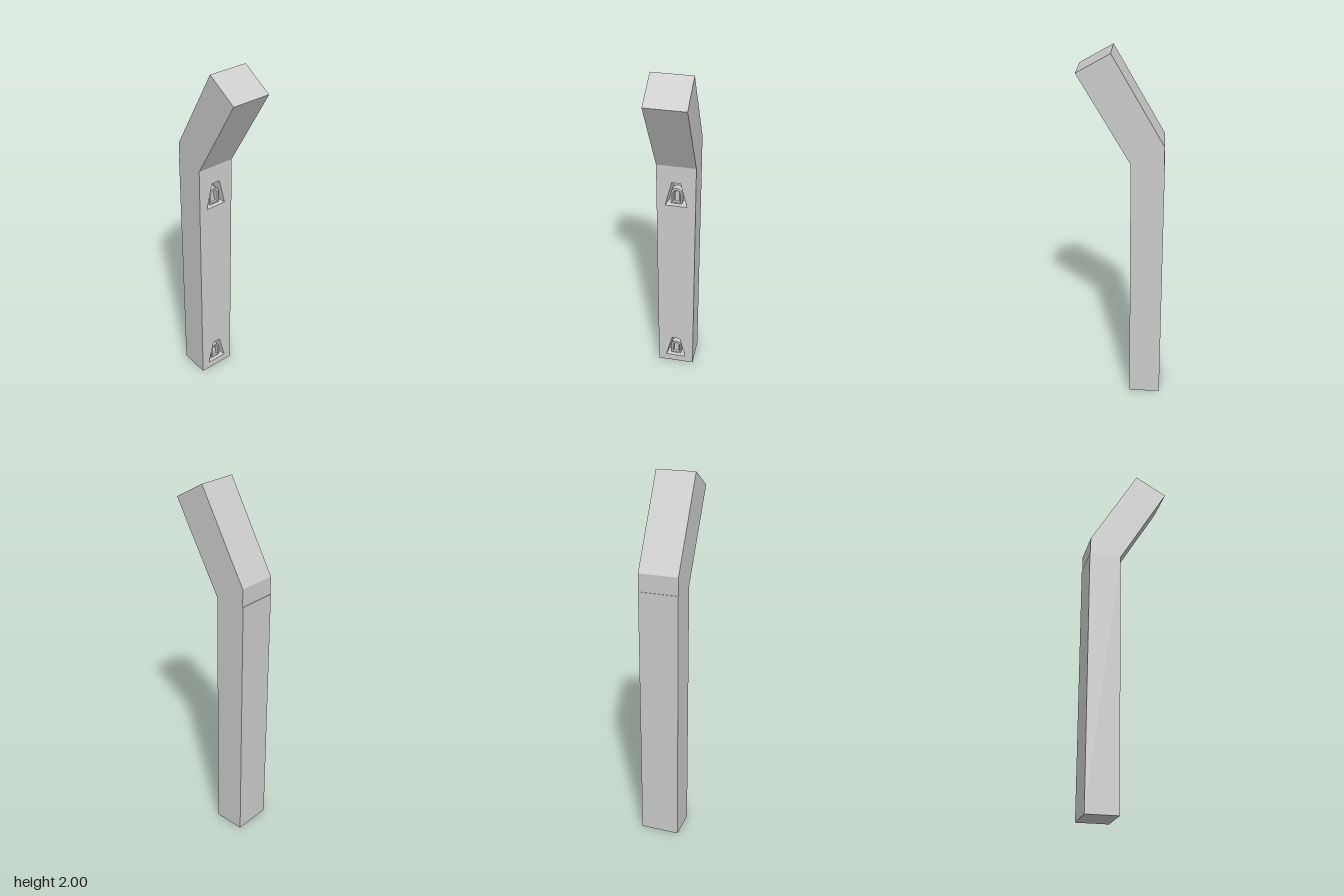
import * as THREE from 'three';

const material = new THREE.MeshStandardMaterial({ color: 0xcccccc, flatShading: true });
const LEFT = -0.225, RIGHT = -0.05, HALF = 0.107, POST_H = 1.435;
const SLOT_DEPTH = 0.05;
const SLOT_Y = [0.045, 1.185];

function mesh(name, geometry) {
  const m = new THREE.Mesh(geometry, material);
  m.name = name;
  return m;
}

// Trapezoid corners, counter-clockwise from bottom left
const trapezoid = (bottom, top, y0, y1) =>
  [[-bottom, y0], [bottom, y0], [top, y1], [-top, y1]].map(p => new THREE.Vector2(...p));

const mouth = trapezoid(0.06, 0.024, 0, 0.148);
const floor = trapezoid(0.048, 0.016, 0.008, 0.132);

// Inward facing walls and floor of a mounting slot
function slotGeometry() {
  const pos = [];
  const out = i => [mouth[i % 4].x, mouth[i % 4].y, 0];
  const inn = i => [floor[i % 4].x, floor[i % 4].y, -SLOT_DEPTH];
  const quad = (a, b, c, d) => pos.push(...a, ...b, ...c, ...a, ...c, ...d);
  for (let i = 0; i < 4; i++) quad(out(i), out(i + 1), inn(i + 1), inn(i));
  quad(inn(0), inn(1), inn(2), inn(3));
  const g = new THREE.BufferGeometry();
  g.setAttribute('position', new THREE.Float32BufferAttribute(pos, 3));
  g.computeVertexNormals();
  return g;
}

// Round-topped outline standing on y0
function arch(path, w, y0, height) {
  path.moveTo(-w, y0);
  path.lineTo(w, y0);
  path.lineTo(w, height - w);
  path.absarc(0, height - w, w, 0, Math.PI, false);
  path.closePath();
  return path;
}

function archGeometry(w, height, depth, holeW, holeHeight) {
  const shape = arch(new THREE.Shape(), w, 0.008, height);
  if (holeW) shape.holes.push(arch(new THREE.Path(), holeW, 0.014, holeHeight));
  const g = new THREE.ExtrudeGeometry(shape, { depth, bevelEnabled: false, curveSegments: 10 });
  return g.translate(0, 0, -SLOT_DEPTH);
}

export function createModel() {
  const model = new THREE.Group();
  model.name = 'bentPost';

  // Upright post, left open on the slotted side
  const body = new THREE.BoxGeometry(RIGHT - LEFT, POST_H, 2 * HALF);
  body.setIndex(Array.from(body.index.array).slice(6));
  body.clearGroups();
  body.translate((LEFT + RIGHT) / 2, POST_H / 2, 0);
  model.add(mesh('post', body));

  // Slotted face, drawn flat and turned towards +x
  const side = new THREE.Group();
  side.name = 'slottedSide';
  side.position.x = RIGHT;
  side.rotation.y = Math.PI / 2;
  model.add(side);

  const face = new THREE.Shape([[-HALF, 0], [HALF, 0], [HALF, POST_H], [-HALF, POST_H]]
    .map(p => new THREE.Vector2(...p)));
  for (const y of SLOT_Y) {
    face.holes.push(new THREE.Path(mouth.map(p => new THREE.Vector2(p.x, p.y + y))));
  }
  side.add(mesh('slottedFace', new THREE.ShapeGeometry(face)));

  // Mounting slots with an arched hook inside
  for (const y of SLOT_Y) {
    const slot = new THREE.Group();
    slot.name = 'mountingSlot';
    slot.position.y = y;
    slot.add(mesh('slotRecess', slotGeometry()));
    slot.add(mesh('hookRim', archGeometry(0.03, 0.105, 0.035, 0.02, 0.092)));
    slot.add(mesh('hookCore', archGeometry(0.013, 0.08, 0.02)));
    side.add(slot);
  }

  // Angled head with a mitred foot
  const profile = new THREE.Shape([[-0.222, POST_H], [RIGHT, POST_H], [0.222, 1.902],
    [0.048, 2], [-0.222, 1.532]].map(p => new THREE.Vector2(...p)));
  const head = new THREE.ExtrudeGeometry(profile, { depth: 2 * HALF, bevelEnabled: false });
  head.translate(0, 0, -HALF);
  model.add(mesh('angledHead', head));

  return model;
}
